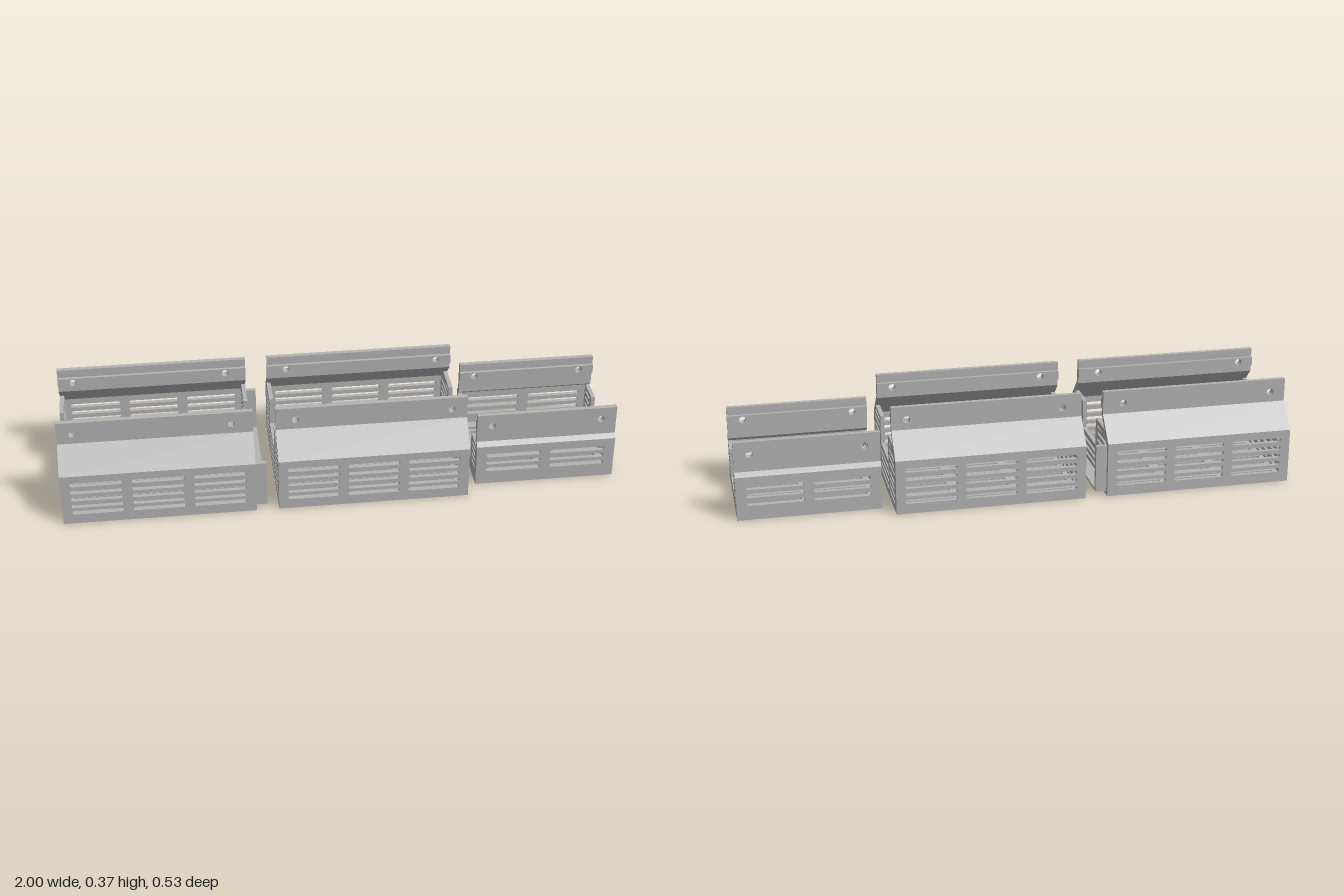
import * as THREE from 'three';

const T = 0.015; // sheet thickness
const grey = new THREE.MeshStandardMaterial({ color: 0xb4b4b4 });

const polygon = (pts) => new THREE.Shape(pts.map(([x, y]) => new THREE.Vector2(x, y)));
const rect = (x0, y0, x1, y1) => polygon([[x0, y0], [x1, y0], [x1, y1], [x0, y1]]);

// Slot centred on (x, y); rounded ends when round is set
function slot(x, y, w, h, round) {
  if (!round) return rect(x - w / 2, y - h / 2, x + w / 2, y + h / 2);
  const p = new THREE.Path();
  const a = w / 2 - h / 2;
  p.absarc(x + a, y, h / 2, -Math.PI / 2, Math.PI / 2, false);
  p.absarc(x - a, y, h / 2, Math.PI / 2, Math.PI * 1.5, false);
  p.closePath();
  return p;
}

function circle(x, y, r) {
  const p = new THREE.Path();
  p.absarc(x, y, r, 0, Math.PI * 2, false);
  return p;
}

// Extruded sheet with cut-outs
function plate(name, shape, holes, depth) {
  shape.holes.push(...holes);
  const geo = new THREE.ExtrudeGeometry(shape, { depth, bevelEnabled: false, curveSegments: 6 });
  const mesh = new THREE.Mesh(geo, grey);
  mesh.name = name;
  return mesh;
}

// Sheet facing z, from z0 to z1
function upright(name, shape, holes, z0, z1) {
  const m = plate(name, shape, holes, z1 - z0);
  m.position.z = z0;
  return m;
}

// Section drawn in (z, y), swept from x0 to x1
function section(name, shape, holes, x0, x1) {
  const m = plate(name, shape, holes, x1 - x0);
  m.rotation.y = -Math.PI / 2;
  m.position.x = x1;
  return m;
}

// Horizontal sheet with its underside at y
function flat(name, shape, holes, y, depth) {
  const m = plate(name, shape, holes, depth);
  m.rotation.x = -Math.PI / 2;
  m.position.y = y;
  return m;
}

// Symmetric end wall outline from the points of its +z half
const mirrored = (half) => polygon([...half, ...half.map(([z, y]) => [-z, y]).reverse()]);

function tray(o) {
  const g = new THREE.Group();
  g.name = o.name;
  const { x0, x1, halfWidth: W } = o;
  const mid = (x0 + x1) / 2;
  const columns = Array.from({ length: o.cols }, (_, i) => mid + (i - (o.cols - 1) / 2) * o.pitch);

  // Slatted floor
  const floorSlots = [];
  for (let i = 0; i < o.floorRows; i++)
    for (const x of columns)
      floorSlots.push(slot(x, (i - (o.floorRows - 1) / 2) * 0.0285, o.slotWidth, 0.016, true));
  g.add(flat('floor', rect(x0, -W, x1, W), floorSlots, 0, T));

  for (const s of [1, -1]) {
    const span = (a, b) => (s > 0 ? [a, b] : [-b, -a]);
    // Slotted side wall
    const wallSlots = o.wallRows.flatMap((y) => columns.map((x) => slot(x, y, o.slotWidth, 0.015, true)));
    g.add(upright('sideWall', rect(x0, T, x1, o.wallTop), wallSlots, ...span(W - T, W)));
    // Sloped shoulder
    g.add(section('shoulder', polygon(o.shoulder.map(([z, y]) => [s * z, y])), [], x0, x1));
    // Mounting flange and its thickening rib, drilled for screws
    const drill = () => o.holes.map((x) => circle(x, o.holeY, 0.013));
    g.add(upright('flange', rect(x0, o.flange[0], x1, o.flange[1]), drill(), ...span(0.168, 0.185)));
    g.add(upright('flangeRib', rect(x0, o.holeY - 0.017, x1, o.holeY + 0.017), drill(), ...span(0.157, 0.168)));
  }

  // End walls with a notch in the middle
  for (const x of [x0, x1 - T]) {
    const cuts = [];
    const zc = (o.endSlot[0] + o.endSlot[1]) / 2;
    for (const y of o.endRows)
      for (const s of [1, -1]) cuts.push(slot(s * zc, y, o.endSlot[1] - o.endSlot[0], 0.011));
    for (const y of o.middleRows) cuts.push(slot(0, y, 0.19, 0.011));
    g.add(section('endWall', mirrored(o.endOutline), cuts, x, x + T));
  }
  return g;
}

export function createModel() {
  const model = new THREE.Group();
  model.name = 'ventilatedTrays';

  const large = {
    halfWidth: 0.265, wallTop: 0.2, flange: [0.285, 0.37], holeY: 0.322,
    shoulder: [[0.265, 0.2], [0.185, 0.285], [0.168, 0.285], [0.168, 0.28], [0.25, 0.194], [0.25, 0.2]],
    cols: 3, pitch: 0.2165, slotWidth: 0.185, floorRows: 17,
    wallRows: [0.045, 0.073, 0.102, 0.132, 0.163],
    endOutline: [[0.25, T], [0.25, 0.2], [0.212, 0.237], [0.092, 0.237], [0.092, 0.132]],
    endSlot: [0.115, 0.232],
    endRows: [0.03, 0.056, 0.082, 0.107, 0.139, 0.164, 0.191, 0.217],
    middleRows: [0.03, 0.056, 0.082, 0.107],
  };
  const small = {
    halfWidth: 0.2, wallTop: 0.16, flange: [0.175, 0.285], holeY: 0.238,
    shoulder: [[0.2, 0.16], [0.185, 0.175], [0.168, 0.175], [0.168, 0.166], [0.185, 0.152], [0.185, 0.16]],
    cols: 2, pitch: 0.235, slotWidth: 0.2, floorRows: 11,
    wallRows: [0.06, 0.09, 0.12],
    endOutline: [[0.185, T], [0.185, 0.152], [0.092, 0.152], [0.092, 0.048]],
    endSlot: [0.115, 0.17],
    endRows: [0.056, 0.082, 0.107, 0.132],
    middleRows: [],
  };

  const first = tray({ ...large, name: 'rightTray', x0: -1, x1: -0.315, holes: [-0.945, -0.39] });
  model.add(first);
  model.add(tray({ ...large, name: 'middleTray', x0: -0.235, x1: 0.45, holes: [-0.165, 0.395] }));
  model.add(tray({ ...small, name: 'leftTray', x0: 0.49, x1: 1, holes: [0.545, 0.945] }));

  // Joining sleeve that slips into the middle tray
  const sleeve = polygon([
    [-0.25, 0.015], [0.25, 0.015], [0.25, 0.19], [0.235, 0.19],
    [0.235, 0.024], [-0.235, 0.024], [-0.235, 0.19], [-0.25, 0.19],
  ]);
  first.add(section('joiningSleeve', sleeve, [], -0.315, -0.275));

  return model;
}
